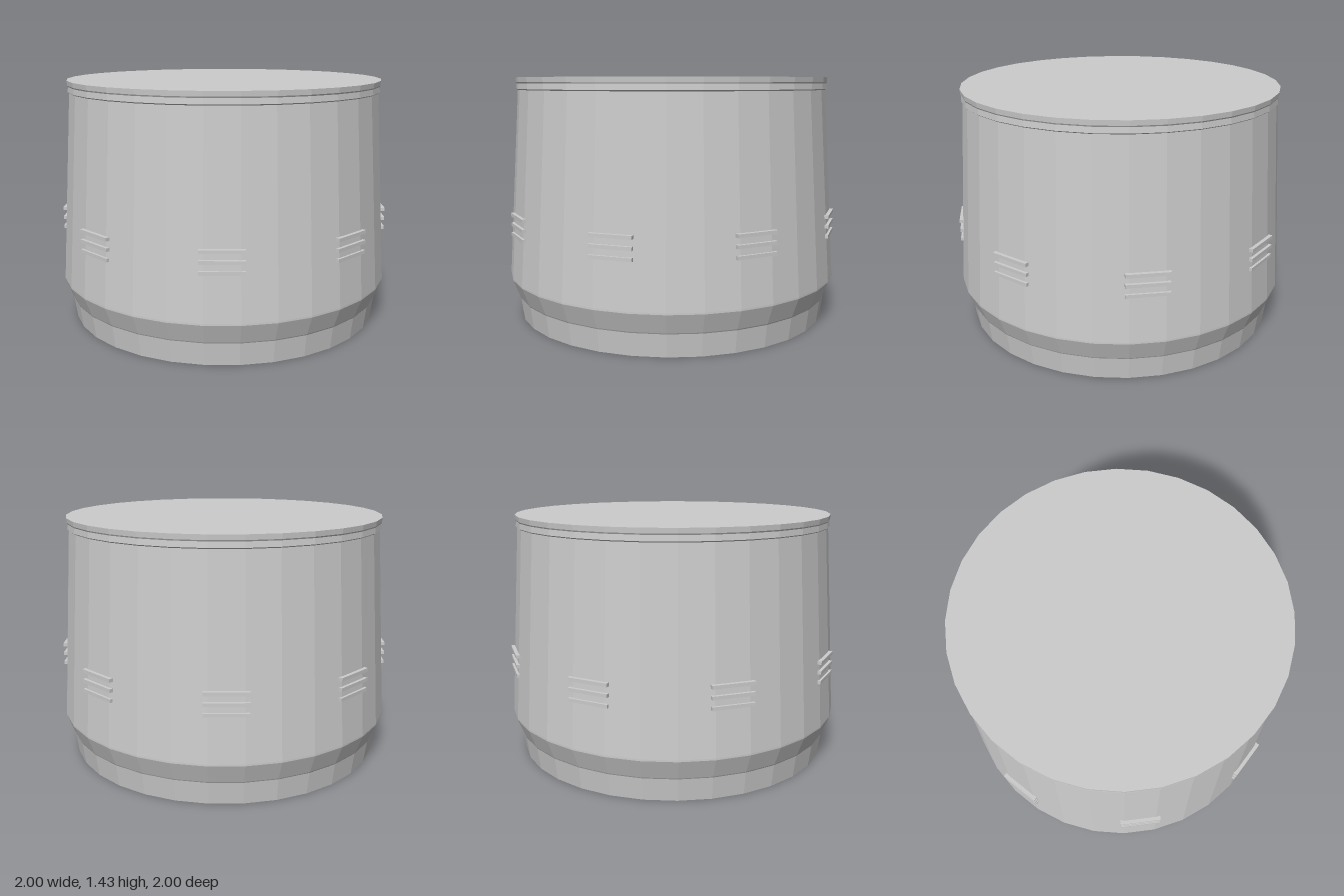
import * as THREE from 'three';

export function createModel() {
  const group = new THREE.Group();
  group.name = 'ventedDrum';
  const grey = new THREE.MeshStandardMaterial({ color: 0xcccccc, flatShading: true });
  grey.name = 'light grey';

  // Drum with a recessed foot, sloped shoulder, tapered wall and grooved rim
  const profile = [
    [0, 0], [0.935, 0], [0.952, 0.13], [0.956, 0.137], [0.998, 0.247], [0.998, 0.257],
    [0.925, 1.358], [0.933, 1.364], [0.93, 1.395], [0.934, 1.402], [0.936, 1.43], [0, 1.43],
  ].map(([r, y]) => new THREE.Vector2(r, y));
  const drum = new THREE.Mesh(new THREE.LatheGeometry(profile, 32), grey);
  drum.name = 'drum';
  group.add(drum);

  // Eight sets of three raised slats, each centred on a wall facet
  const slatGeometry = new THREE.BoxGeometry(0.24, 0.02, 0.06);
  for (let i = 0; i < 8; i++) {
    const vent = new THREE.Group();
    vent.name = `vent${i + 1}`;
    vent.rotation.y = THREE.MathUtils.degToRad(28.125 + i * 45);
    for (const y of [0.524, 0.581, 0.638]) {
      const slat = new THREE.Mesh(slatGeometry, grey);
      slat.name = 'slat';
      slat.position.set(0, y, 0.958);
      vent.add(slat);
    }
    group.add(vent);
  }
  return group;
}
